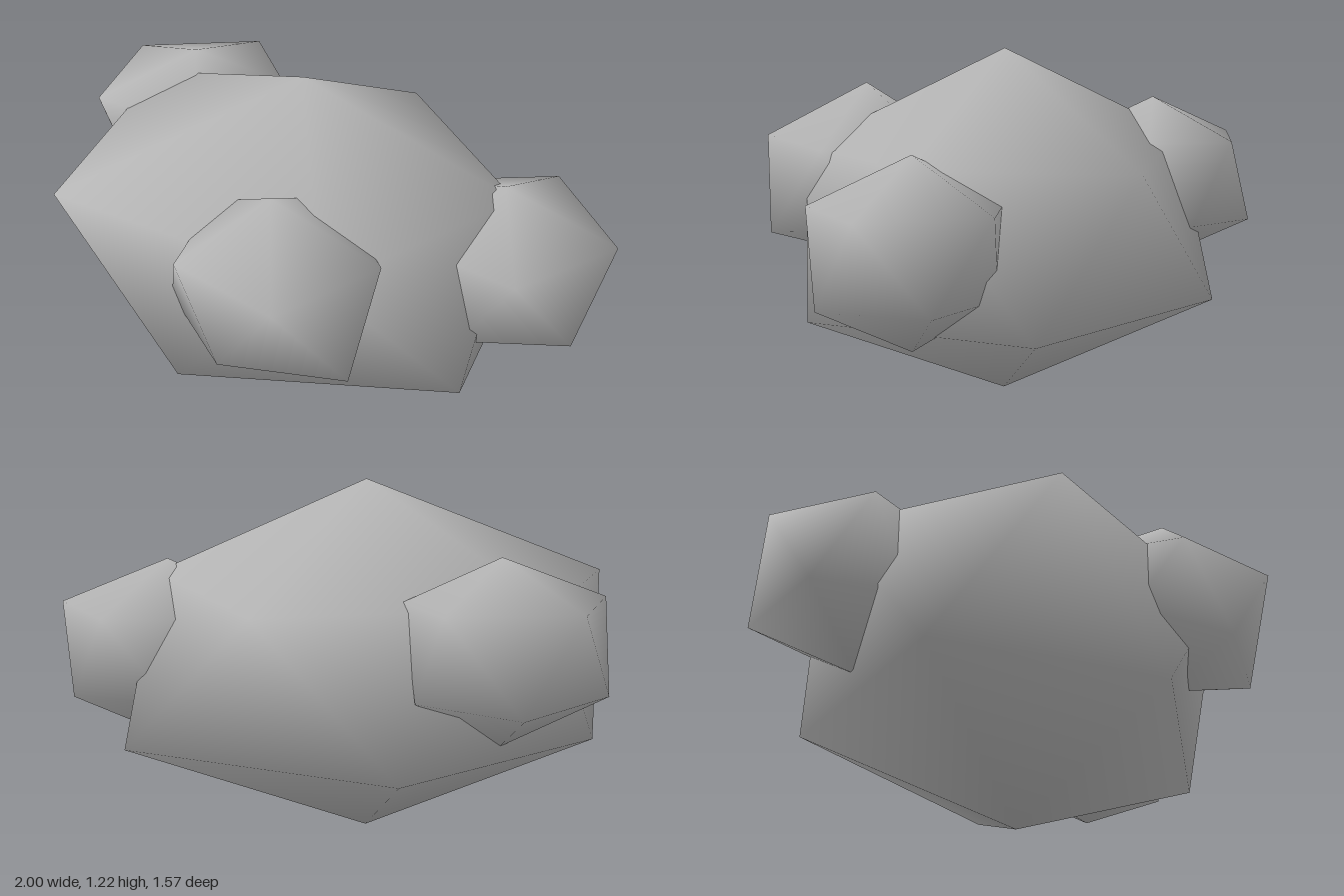
import * as THREE from 'three';

// A 12-corner rounded stone: a top point, two staggered rings of five, a bottom point.
// Rings start at +x and turn towards +z; the lower ring is half a step on.
function stoneGeometry({ top, upper, lower, bottom }) {
  const positions = [top, ...upper, ...lower, bottom].flat();
  const index = [];
  for (let i = 0; i < 5; i++) {
    const j = (i + 1) % 5;
    const u0 = 1 + i, u1 = 1 + j, l0 = 6 + i, l1 = 6 + j;
    index.push(0, u1, u0, u0, u1, l0, l0, u1, l1, 11, l0, l1);
  }
  const geometry = new THREE.BufferGeometry();
  geometry.setAttribute('position', new THREE.Float32BufferAttribute(positions, 3));
  geometry.setIndex(index);
  geometry.computeVertexNormals();
  return geometry;
}

const stones = {
  // large wide core
  mainRock: {
    top: [-0.12, 1.22, -0.08],
    upper: [[0.64, 0.87, -0.08], [0.15, 0.87, 0.57], [-0.87, 0.87, 0.36], [-0.82, 0.87, -0.48], [0.12, 0.83, -0.69]],
    lower: [[0.57, 0.33, 0.33], [-0.37, 0.35, 0.55], [-0.91, 0.355, -0.08], [-0.39, 0.33, -0.77], [0.61, 0.33, -0.52]],
    bottom: [-0.12, 0, -0.08],
  },
  // lump on the +x side
  leftLump: {
    top: [0.6, 0.92, -0.08],
    upper: [[1, 0.75, -0.08], [0.72, 0.75, 0.245], [0.3, 0.75, 0.11], [0.3, 0.75, -0.28], [0.72, 0.755, -0.43]],
    lower: [[0.9, 0.445, 0.11], [0.52, 0.45, 0.21], [0.27, 0.45, -0.08], [0.5, 0.45, -0.34], [0.88, 0.45, -0.29]],
    bottom: [0.6, 0.275, -0.08],
  },
  // lump on the front
  frontLump: {
    top: [-0.06, 1.085, 0.44],
    upper: [[0.31, 0.875, 0.42], [0.06, 0.89, 0.785], [-0.34, 0.87, 0.6], [-0.33, 0.88, 0.24], [0.06, 0.88, 0.1]],
    lower: [[0.27, 0.57, 0.65], [-0.16, 0.58, 0.71], [-0.42, 0.6, 0.44], [-0.17, 0.6, 0.1], [0.23, 0.6, 0.24]],
    bottom: [-0.06, 0.45, 0.44],
  },
  // lump on the back corner
  backLump: {
    top: [-0.65, 1.02, -0.44],
    upper: [[-0.35, 0.88, -0.54], [-0.55, 0.87, -0.15], [-0.96, 0.875, -0.24], [-0.945, 0.875, -0.63], [-0.53, 0.88, -0.785]],
    lower: [[-0.42, 0.58, -0.28], [-0.8, 0.58, -0.18], [-1, 0.585, -0.44], [-0.78, 0.565, -0.775], [-0.42, 0.58, -0.68]],
    bottom: [-0.65, 0.4, -0.44],
  },
};

export function createModel() {
  const group = new THREE.Group();
  group.name = 'rockCluster';
  const stone = new THREE.MeshStandardMaterial({ color: 0xb8b8b8 });
  stone.name = 'stoneGrey';
  for (const [name, shape] of Object.entries(stones)) {
    const mesh = new THREE.Mesh(stoneGeometry(shape), stone);
    mesh.name = name;
    group.add(mesh);
  }
  return group;
}
